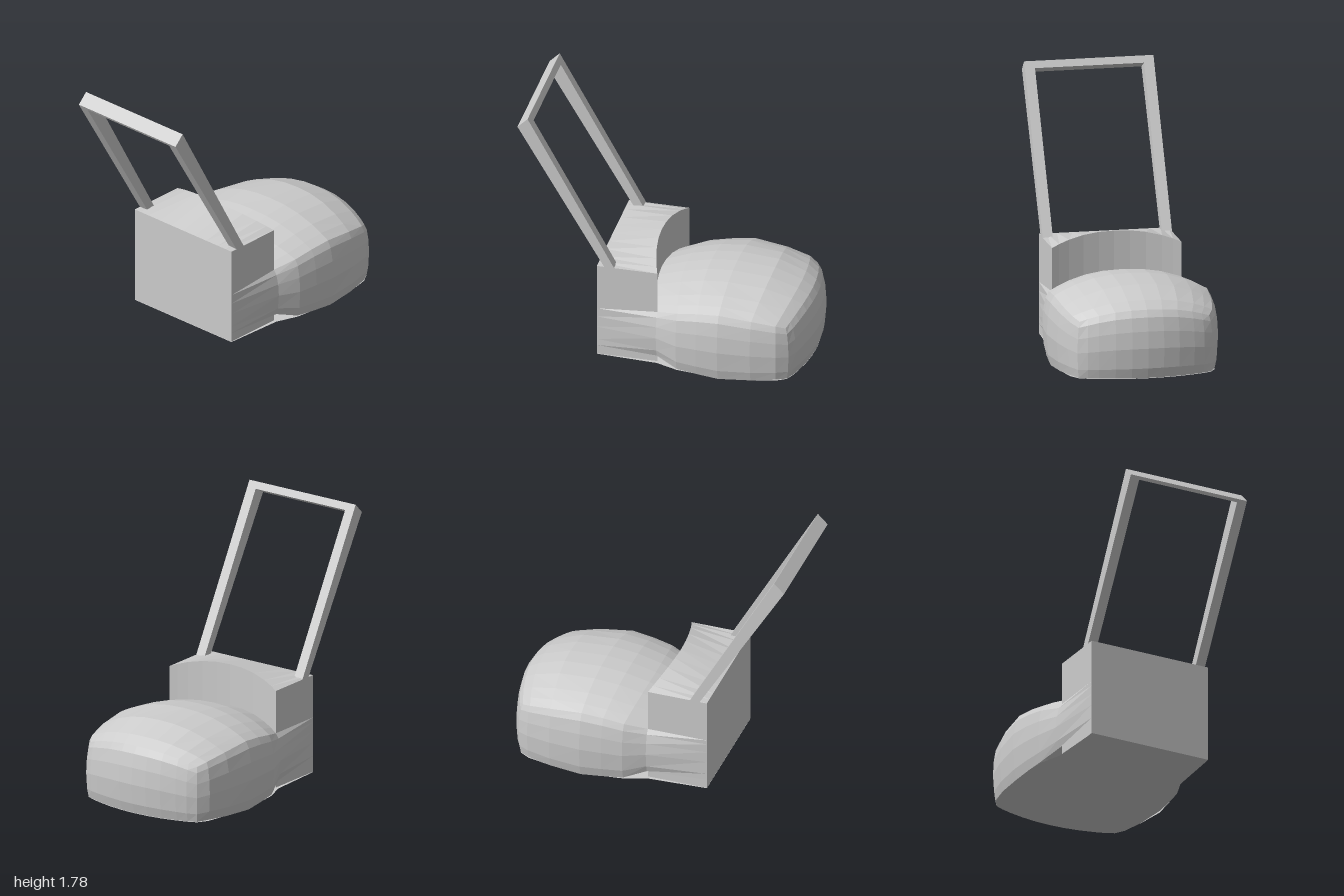
import * as THREE from 'three';

const material = new THREE.MeshStandardMaterial({ color: 0xcccccc, flatShading: true, side: THREE.DoubleSide });

// Surface through a 2D array of points; the front faces along (row step) x (column step).
function gridMesh(name, grid) {
  const pos = [], index = [], n = grid[0].length;
  grid.forEach(row => row.forEach(p => pos.push(...p)));
  for (let i = 0; i < grid.length - 1; i++) {
    for (let j = 0; j < n - 1; j++) {
      const a = i * n + j, b = a + n;
      index.push(a, b, b + 1, a, b + 1, a + 1);
    }
  }
  let geo = new THREE.BufferGeometry();
  geo.setAttribute('position', new THREE.Float32BufferAttribute(pos, 3));
  geo.setIndex(index);
  geo = geo.toNonIndexed();
  geo.computeVertexNormals();
  const mesh = new THREE.Mesh(geo, material);
  mesh.name = name;
  return mesh;
}

// Side profile in x,y extruded between two z values
function slab(name, points, z0, z1) {
  const shape = new THREE.Shape(points.map(p => new THREE.Vector2(...p)));
  const geo = new THREE.ExtrudeGeometry(shape, { depth: z1 - z0, bevelEnabled: false });
  geo.translate(0, 0, z0);
  const mesh = new THREE.Mesh(geo, material);
  mesh.name = name;
  return mesh;
}

const arch = v => 1 - Math.pow(Math.abs(v), 2.3);
const backX = v => -0.11 + 0.08 * v * v;
const frontX = v => 0.94 - 0.08 * v * v;
const across = [-1, -0.88, -0.72, -0.48, -0.24, 0, 0.24, 0.48, 0.72, 0.88, 1];

// Hood stations: u, half width, crease height, centre height, bulge x, bulge z, bottom height
const stations = [
  [0, 0.445, 0.40, 0.49, 0, 0.045, 0.07],
  [0.17, 0.50, 0.44, 0.555, 0, 0.045, 0.02],
  [0.33, 0.515, 0.465, 0.595, 0, 0.05, 0.01],
  [0.5, 0.525, 0.48, 0.612, 0, 0.052, 0],
  [0.75, 0.51, 0.455, 0.595, 0, 0.045, 0.01],
  [0.93, 0.48, 0.425, 0.53, 0.01, 0.035, 0.02],
  [1, 0.445, 0.40, 0.48, 0.025, 0.02, 0.015],
];

function makeHoodTop() {
  return gridMesh('hoodTop', across.map(v => stations.map(([u, w, edge, centre]) => [
    THREE.MathUtils.lerp(backX(v), frontX(v), u),
    edge + (centre - edge) * arch(v),
    v * w,
  ])));
}

function makeSkirt() {
  // Crease columns from the rear right, around the front, to the rear left
  const side = s => [
    { x: -0.45, y: 0.40, z: s * 0.445, ox: 0, oz: 0, yb: 0.08 },
    ...stations.map(([u, w, edge, , ox, oz, yb]) => (
      { x: -0.03 + 0.89 * u, y: edge, z: s * w, ox, oz: s * oz, yb })),
  ];
  const front = across.slice(1, -1).map(v => (
    { x: frontX(v), y: 0.40 + 0.08 * arch(v), z: v * 0.445, ox: 0.06 - 0.02 * v * v, oz: 0.012 * v, yb: 0.015 }));
  const columns = [...side(-1), ...front, ...side(1).reverse()];
  // Drop fraction and outward bulge
  const profile = [[0, 0], [0.1, 0.5], [0.3, 0.85], [0.55, 1], [0.85, 0.8], [1, 0.45]];
  const grid = columns.map(c => profile.map(([t, b]) => [
    c.x + c.ox * b, THREE.MathUtils.lerp(c.y, c.yb, t), c.z + c.oz * b]));

  // Flat floor joining opposite columns
  const bottom = grid.map(col => col[col.length - 1]);
  const half = Math.ceil(bottom.length / 2);
  const floor = bottom.slice(0, half).map((p, i) => [p, bottom[bottom.length - 1 - i]]
    .map(q => [q[0], 0.012, q[2]]));
  return [gridMesh('skirt', grid), gridMesh('floor', floor)];
}

// Rear housing with an arched top and a concave front wall
function makeRearHousing() {
  const group = new THREE.Group();
  group.name = 'rearHousing';
  const loop = v => [
    [-0.45, 0.015, v * 0.445],
    [-0.45, 0.70, v * 0.445],
    [backX(v), 0.70 + 0.08 * arch(v), v * 0.445],
    [backX(v), 0.015, v * 0.445],
    [-0.45, 0.015, v * 0.445],
  ];
  group.add(gridMesh('housingShell', across.map(loop)));
  const [lb, lt, lft, lfb] = loop(1), [rb, rt, rft, rfb] = loop(-1);
  group.add(gridMesh('housingLeftSide', [[lb, lt], [lfb, lft]]));
  group.add(gridMesh('housingRightSide', [[rfb, rft], [rb, rt]]));
  return group;
}

// Slanted push handle: two rails and a crossbar
function makeHandle() {
  const group = new THREE.Group();
  group.name = 'handle';
  const rail = [[-0.39, 0.685], [-0.33, 0.70], [-0.93, 1.78], [-1, 1.71]];
  const bar = [[-1, 1.71], [-0.988, 1.69], [-0.905, 1.735], [-0.93, 1.78]];
  group.add(slab('leftRail', rail, 0.375, 0.445));
  group.add(slab('rightRail', rail, -0.445, -0.375));
  group.add(slab('crossbar', bar, -0.375, 0.375));
  return group;
}

export function createModel() {
  const model = new THREE.Group();
  model.name = 'pushMower';
  model.add(makeHoodTop(), ...makeSkirt(), makeRearHousing(), makeHandle());
  return model;
}
